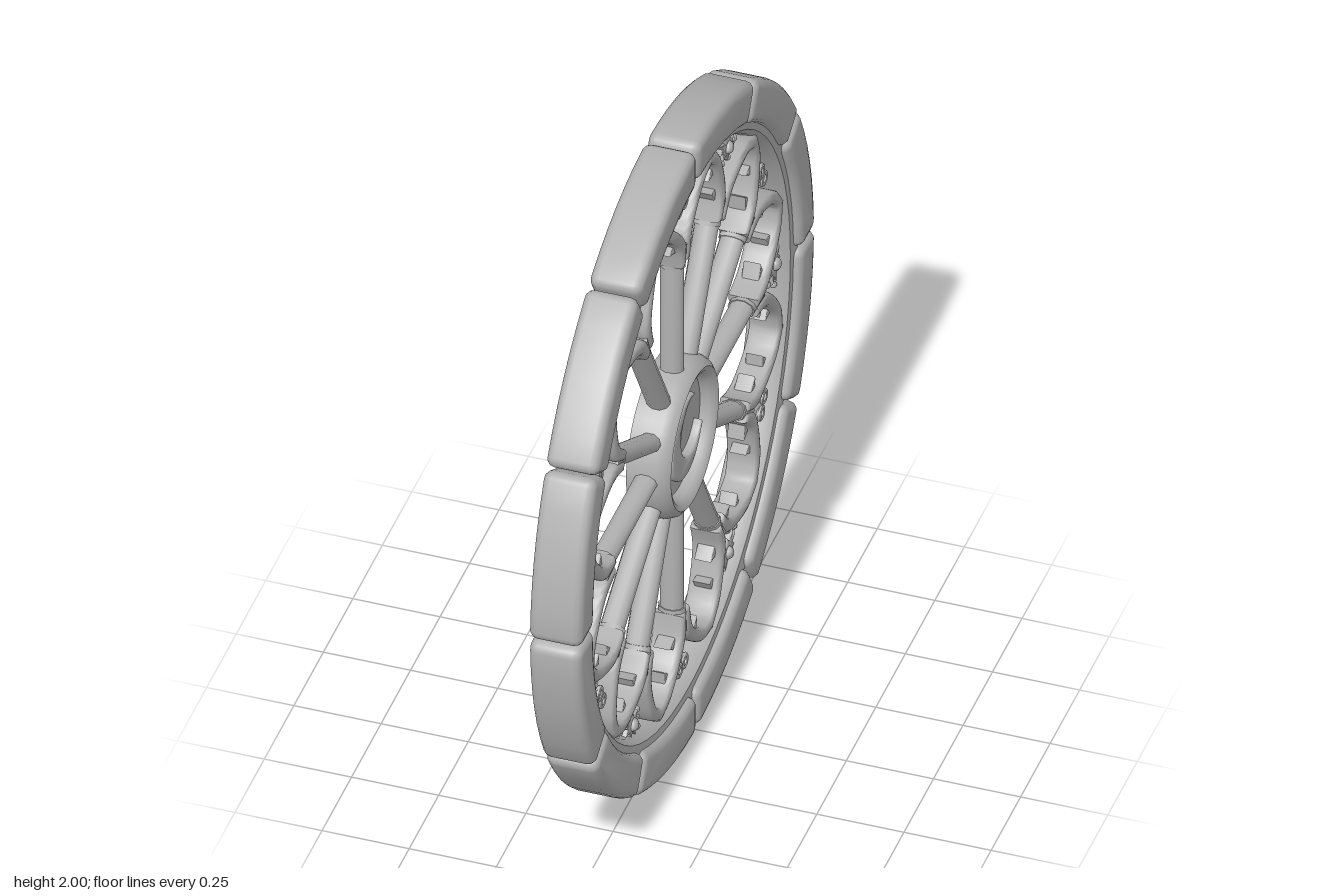
import * as THREE from 'three';
import { toCreasedNormals } from 'three/addons/utils/BufferGeometryUtils.js';

const stone = new THREE.MeshStandardMaterial({ color: 0xb2b2b2 });
stone.name = 'grey stone';

const STEP = Math.PI / 6;
const V = (x, y) => new THREE.Vector2(x, y);

function part(name, geometry, crease = 0.8) {
  const mesh = new THREE.Mesh(toCreasedNormals(geometry, crease), stone);
  mesh.name = name;
  return mesh;
}

// Bevelled plate, centred on z = 0, keeping the drawn outline
function plate(points, thickness, bevel, segments = 2) {
  const g = new THREE.ExtrudeGeometry(new THREE.Shape(points), {
    depth: thickness - 2 * bevel, bevelThickness: bevel, bevelSize: bevel,
    bevelOffset: -bevel, bevelSegments: segments, curveSegments: 16,
  });
  return g.translate(0, 0, -thickness / 2 + bevel);
}

// Ring or disc turned about z from (radius, z) pairs
function turned(profile, segments) {
  return new THREE.LatheGeometry(profile.map(([r, z]) => V(r, z)), segments).rotateX(Math.PI / 2);
}

// Rounded rectangle bent along the rim; its middle points to +y
function rimBlockGeometry() {
  const half = STEP / 2 - 0.004, r0 = 0.875, r1 = 1, c = 0.03;
  const pts = [];
  const corners = [[1, r1 - c, 0], [-1, r1 - c, 1], [-1, r0 + c, 2], [1, r0 + c, 3]];
  const add = (a, r) => pts.push(V(-Math.sin(a) * r, Math.cos(a) * r));
  corners.forEach(([side, r, quarter], k) => {
    for (let i = 0; i <= 4; i++) {
      const t = (quarter + i / 4) * Math.PI / 2;
      add(side * (half - c) + Math.cos(t) * c, r + Math.sin(t) * c);
    }
    if (k % 2 === 0) {
      const rr = k === 0 ? r1 : r0;
      for (let i = 1; i < 6; i++) add(side * (half - c) * (1 - i / 3), rr);
    }
  });
  return plate(pts, 0.152, 0.025, 3);
}

// Pointed arch between two spokes, symmetric about +y
function petalGeometry() {
  const smooth = (list) => new THREE.SplineCurve(list.map(([x, y]) => V(x, y))).getPoints(14);
  const outer = smooth([[0.155, 0.58], [0.17, 0.64], [0.166, 0.675], [0.15, 0.712],
    [0.115, 0.768], [0.07, 0.818], [0, 0.848]]);
  const inner = smooth([[0.125, 0.585], [0.128, 0.63], [0.125, 0.665], [0.112, 0.7],
    [0.082, 0.747], [0.045, 0.787], [0, 0.806]]);
  const mirror = (list) => list.slice(0, -1).map((p) => V(-p.x, p.y));
  return plate([...outer, ...mirror(outer).reverse(), ...mirror(inner), ...inner.reverse()],
    0.09, 0.014, 3);
}

function crescentGeometry() {
  const R = 0.125, a = 1.047, b = -0.227, cx = 0.04, cy = 0.0174;
  const from = Math.atan2(R * Math.sin(b) - cy, R * Math.cos(b) - cx);
  const to = Math.atan2(R * Math.sin(a) - cy, R * Math.cos(a) - cx);
  const r = Math.hypot(R * Math.cos(a) - cx, R * Math.sin(a) - cy);
  const s = new THREE.Shape();
  s.absarc(0, 0, R, a, b + 2 * Math.PI, false);
  s.absarc(cx, cy, r, from, to, true);
  return new THREE.ExtrudeGeometry(s, {
    depth: 0.025, bevelThickness: 0.006, bevelSize: 0.005, bevelOffset: -0.005,
    bevelSegments: 2, curveSegments: 32,
  }).translate(0, 0, 0.015);
}

// Small carved face: rounded body, two ringed eyes, stem and horns
function carvedFace() {
  const g = new THREE.Group();
  g.name = 'carvedFace';
  g.add(part('faceBody', new THREE.SphereGeometry(1, 16, 10).scale(0.05, 0.034, 0.03)));
  for (const s of [-1, 1]) {
    const eye = part('eyeRing', new THREE.TorusGeometry(0.017, 0.008, 8, 14));
    eye.position.set(s * 0.023, 0, 0.026);
    const horn = part('horn', new THREE.ConeGeometry(0.01, 0.035, 6));
    horn.position.set(s * 0.035, 0.032, 0);
    horn.rotation.z = -s * 0.6;
    g.add(eye, horn);
  }
  const stem = part('stem', new THREE.CylinderGeometry(0.005, 0.008, 0.04, 6));
  stem.position.y = 0.04;
  g.add(stem);
  return g;
}

// Jagged leaf spray with berries
function leafSpray() {
  const g = new THREE.Group();
  g.name = 'leafSpray';
  const pts = [];
  for (let i = 0; i < 18; i++) {
    const a = i / 18 * Math.PI * 2 + Math.PI / 2, k = i % 2 ? 0.6 : 1;
    pts.push(V(Math.cos(a) * 0.07 * k, Math.sin(a) * 0.042 * k));
  }
  g.add(part('leaf', plate(pts, 0.05, 0.005)));
  const berries = [[-0.085, 0.015], [0.085, 0.015], [-0.05, -0.035], [0.05, -0.035], [0, -0.05]];
  for (const [x, y] of berries) {
    const berry = part('berry', new THREE.SphereGeometry(0.011, 10, 8));
    berry.position.set(x, y, 0.012);
    g.add(berry);
  }
  const bud = part('bud', new THREE.SphereGeometry(0.02, 12, 8));
  bud.position.z = 0.022;
  g.add(bud);
  return g;
}

export function createModel() {
  const model = new THREE.Group();
  model.name = 'roseWindow';
  const wheel = new THREE.Group();
  wheel.name = 'wheel';
  wheel.position.y = 1;
  wheel.rotation.y = Math.PI / 2;
  model.add(wheel);

  // Inner moulding of the rim
  wheel.add(part('innerRim', turned([[0.84, -0.03], [0.855, -0.05], [0.9, -0.055], [0.9, 0.055],
    [0.855, 0.05], [0.84, 0.03], [0.835, 0], [0.84, -0.03]], 72)));

  // Hub with raised rim, flat back and crescent
  wheel.add(part('hub', turned([[0, -0.055], [0.227, -0.055], [0.232, 0], [0.23, 0.03], [0.22, 0.053],
    [0.203, 0.066], [0.188, 0.06], [0.178, 0.045], [0.172, 0.022], [0, 0.018]], 48)));
  wheel.add(part('crescent', crescentGeometry()));

  const block = rimBlockGeometry();
  const petal = petalGeometry();
  const cusp = plate([V(-0.02, -0.012), V(0.02, -0.012), V(0.004, 0.03)], 0.05, 0.004);
  const spoke = new THREE.CylinderGeometry(0.028, 0.028, 0.44, 10)
    .scale(1, 1, 1.25).translate(0, 0.41, 0);
  const collar = new THREE.CylinderGeometry(0.034, 0.031, 0.08, 10)
    .scale(1, 1, 1.25).translate(0, 0.625, 0);

  for (let i = 0; i < 12; i++) {
    // Blocks and petals sit between the spokes
    const between = new THREE.Group();
    between.name = 'bay';
    between.rotation.z = (i + 0.5) * STEP;
    between.add(part('rimBlock', block), part('petalArch', petal));
    // Cusps point into the opening, two on each side
    for (const s of [-1, 1]) {
      for (const [x, y, turn] of [[0.118, 0.672, 1.4], [0.075, 0.752, 2.3]]) {
        const point = part('cusp', cusp);
        point.position.set(s * x, y, 0);
        point.rotation.z = s * turn;
        between.add(point);
      }
    }

    // Spokes carry an ornament at their outer end
    const onSpoke = new THREE.Group();
    onSpoke.name = 'spokeArm';
    onSpoke.rotation.z = i * STEP;
    onSpoke.add(part('spoke', spoke), part('spokeCollar', collar));
    const ornament = i % 2 === 0 ? carvedFace() : leafSpray();
    ornament.position.y = i % 2 === 0 ? 0.79 : 0.805;
    if (i % 2 === 0 && i > 3 && i < 9) ornament.rotation.z = Math.PI;
    onSpoke.add(ornament);
    wheel.add(between, onSpoke);
  }
  return model;
}
